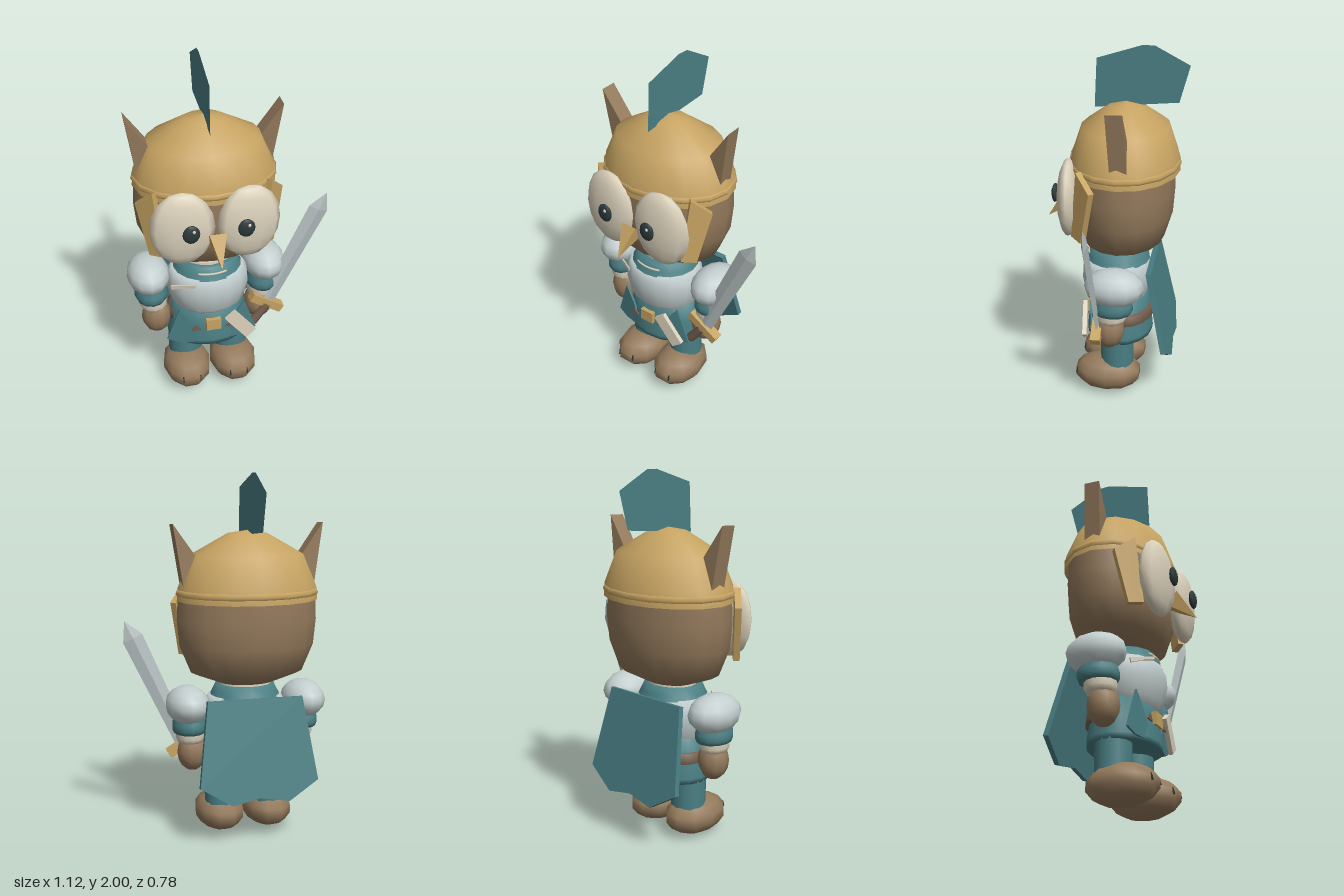
import * as THREE from 'three';

const mat = (name, color, side = THREE.FrontSide) => {
  const m = new THREE.MeshStandardMaterial({ color, side });
  m.name = name;
  return m;
};

export function createModel() {
  const root = new THREE.Group();
  // body axis sits left of the centre because the sword reaches out to +x
  const body = new THREE.Group();
  body.name = 'owlKnight';
  body.position.x = -0.1;
  root.add(body);

  const brown = mat('feather brown', 0x947a5c);
  const gold = mat('brass', 0xc6a362);
  const teal = mat('teal cloth', 0x4a7f84, THREE.DoubleSide);
  const silver = mat('silver plate', 0xc3cece);
  const cream = mat('cream', 0xdcd2bc);
  const dark = mat('pupil black', 0x2c393b);
  const steel = mat('blade steel', 0xb6bfc0);
  const leather = mat('dark leather', 0x755f4e);

  const add = (name, geo, material, pos = [0, 0, 0], rot = [0, 0, 0], parent = body) => {
    const m = new THREE.Mesh(geo, material);
    m.name = name;
    m.position.set(...pos);
    m.rotation.set(...rot);
    parent.add(m);
    return m;
  };
  const ball = (rx, ry, rz, w = 12, h = 8) => new THREE.SphereGeometry(1, w, h).scale(rx, ry, rz);
  const lathe = (pts, zScale = 1, seg = 16) =>
    new THREE.LatheGeometry(pts.map(p => new THREE.Vector2(...p)), seg).scale(1, 1, zScale);
  const flat = geo => {
    const g = geo.toNonIndexed();
    g.computeVertexNormals();
    return g;
  };
  const slab = (pts, depth) => new THREE.ExtrudeGeometry(
    new THREE.Shape(pts.map(p => new THREE.Vector2(...p))), { depth, bevelEnabled: false });

  // head
  add('head', lathe([[0, 0.865], [0.15, 0.867], [0.315, 0.93], [0.378, 1.08], [0.392, 1.22], [0.385, 1.36]], 0.72),
    brown, [0, 0, -0.045]);

  // helmet with rolled brim
  add('helmet', lathe([[0.392, 1.325], [0.386, 1.4], [0.312, 1.57], [0.11, 1.683], [0, 1.7]], 0.775),
    gold, [0, 0, -0.05]);
  add('helmetBrim', new THREE.TorusGeometry(0.376, 0.022, 6, 16).rotateX(Math.PI / 2).scale(1, 1, 0.775),
    gold, [0, 1.367, -0.05]);

  // plume: a single upright sheet along the helmet's crest
  const plume = [[0.12, 1.66], [0.108, 1.926], [-0.135, 2], [-0.2, 2], [-0.39, 1.9], [-0.336, 1.7]];
  add('plume', new THREE.ShapeGeometry(new THREE.Shape(plume.map(([z, y]) => new THREE.Vector2(-z, y)))),
    teal, [0, 0, 0], [0, Math.PI / 2, 0]);

  // beak: square pyramid with a flat face forward
  add('beak', flat(new THREE.ConeGeometry(0.066, 0.18, 4).rotateY(Math.PI / 4)), gold,
    [0, 1.08, 0.326], [2.356, 0, 0]);

  for (const s of [-1, 1]) {
    // eyes
    add('eye', ball(0.173, 0.217, 0.062, 10, 8), cream, [s * 0.178, 1.2, 0.238], [0, s * 0.08, 0]);
    add('pupil', ball(0.046, 0.053, 0.018, 12, 8), dark, [s * 0.145, 1.21, 0.318]);
    add('eyeGlint', ball(0.009, 0.01, 0.006, 8, 6), cream, [s * 0.145 + 0.012, 1.232, 0.333]);

    // ear horns
    add('earHorn', slab([[s * 0.417, 1.74], [s * 0.29, 1.56], [s * 0.365, 1.4]], 0.09), brown,
      [0, 0, -0.175], [0.05, 0, 0]);

    // cheek guards, angled across the front corners of the face
    const guard = [[0.035, 0.19], [-0.08, 0.1], [0, -0.2], [0.085, -0.185]];
    add('cheekGuard', slab(guard.map(([u, v]) => [-s * u, v]), 0.035), gold,
      [s * 0.318, 1.2, 0.122], [0, s * Math.PI / 4, 0]);

    // arms
    add('shoulderPlate', ball(0.121, 0.107, 0.165), silver, [s * 0.335, 0.75, -0.035]);
    add('sleeve', lathe([[0, 0.59], [0.085, 0.592], [0.094, 0.615], [0.094, 0.645], [0.08, 0.69]], 1.2, 12),
      teal, [s * 0.325, 0, -0.025]);
    add('cuff', lathe([[0, 0.53], [0.068, 0.535], [0.08, 0.56], [0.078, 0.6]], 1.1, 12),
      cream, [s * 0.317, 0, -0.015]);
    add('hand', ball(0.085, 0.11, 0.085, 10, 8), brown, [s * 0.303, 0.475, -0.005]);

    // legs and feet
    add('leg', new THREE.CylinderGeometry(0.096, 0.096, 0.22, 14), teal, [s * 0.138, 0.28, -0.025]);
    add('foot', ball(0.141, 0.11, 0.198, 10, 7), brown, [s * 0.14, 0.11, 0.028]);
    for (const c of [-1, 1])
      add('toeLine', new THREE.BoxGeometry(0.007, 0.036, 0.009), dark,
        [s * 0.14 + c * 0.05, 0.122, 0.204], [-0.25, 0, 0]);

    // tunic flaps and the belt peeking between them
    add('tunicFlap', slab([[s * 0.19, 0.585], [s * 0.265, 0.37], [s * 0.2, 0.345], [s * 0.05, 0.345], [s * 0.13, 0.5]], 0.012),
      teal, [0, 0, 0.15], [0, s * 0.2, 0]);
    add('beltTab', slab([[s * 0.13, 0.445], [s * 0.07, 0.445], [s * 0.1, 0.48]], 0.009), leather, [0, 0, 0.153]);
  }

  // neck and collar
  add('neck', new THREE.CylinderGeometry(0.145, 0.15, 0.1, 16).scale(1, 1, 0.85), cream, [0, 0.815, -0.02]);
  add('collar', lathe([[0.2, 0.785], [0.185, 0.812], [0.165, 0.853], [0.13, 0.853]], 0.92), teal, [0, 0, -0.01]);
  add('collarTrim', new THREE.TorusGeometry(0.18, 0.006, 6, 8, 0.9).rotateZ(Math.PI / 2 - 0.45).rotateX(Math.PI / 2)
    .scale(1, 1, 0.92), cream, [0, 0.824, -0.009]);

  // breastplate
  add('breastplate', lathe([[0, 0.52], [0.16, 0.525], [0.212, 0.58], [0.236, 0.68], [0.23, 0.75], [0.205, 0.792], [0, 0.808]], 0.85),
    silver, [0, 0, -0.005]);
  add('shoulderStrap', slab([[-0.075, -0.035], [0, -0.005], [0.065, 0.01], [0.07, 0.03], [-0.08, -0.01]], 0.009),
    cream, [-0.16, 0.755, 0.145], [0, -0.6, 0]);

  // tunic, belt and buckle
  add('tunic', lathe([[0, 0.33], [0.235, 0.33], [0.24, 0.36], [0.225, 0.46], [0.205, 0.58], [0.1, 0.6]], 0.8),
    teal, [0, 0, -0.025]);
  add('belt', lathe([[0.215, 0.445], [0.236, 0.447], [0.232, 0.503], [0.205, 0.505]], 0.75), leather, [0, 0, -0.045]);
  add('beltBuckle', new THREE.BoxGeometry(0.085, 0.07, 0.03), gold, [0, 0.475, 0.155]);

  // parchment tucked in the belt
  add('beltScroll', new THREE.BoxGeometry(0.075, 0.2, 0.025), cream, [0.158, 0.448, 0.158], [0, 0.1, 0.66]);

  // cape: a stiff tilted panel with a notched hem
  const half = [[0.265, 0], [0.33, -0.46], [0.16, -0.565]];
  const cape = [...half, [0, -0.535], ...half.map(([x, y]) => [-x, y]).reverse()];
  add('cape', slab(cape, 0.03), teal, [0, 0.807, -0.228], [0.21, 0, 0]);

  // sword held in the left hand
  const sword = new THREE.Group();
  sword.name = 'sword';
  sword.position.set(0.335, 0.505, 0.058);
  sword.rotation.set(0.025, 0, -0.43);
  body.add(sword);
  const o = [0, 0, 0];
  add('blade', flat(lathe([[0.046, 0], [0.058, 0.67], [0, 0.775]], 0.3, 4)), steel, o, o, sword);
  add('crossGuard', new THREE.BoxGeometry(0.21, 0.05, 0.055), gold, o, [0, 0, -0.12], sword);
  add('grip', new THREE.CylinderGeometry(0.024, 0.028, 0.14, 8), leather, [-0.012, -0.075, 0.02], [0, 0, -0.2], sword);

  return root;
}
